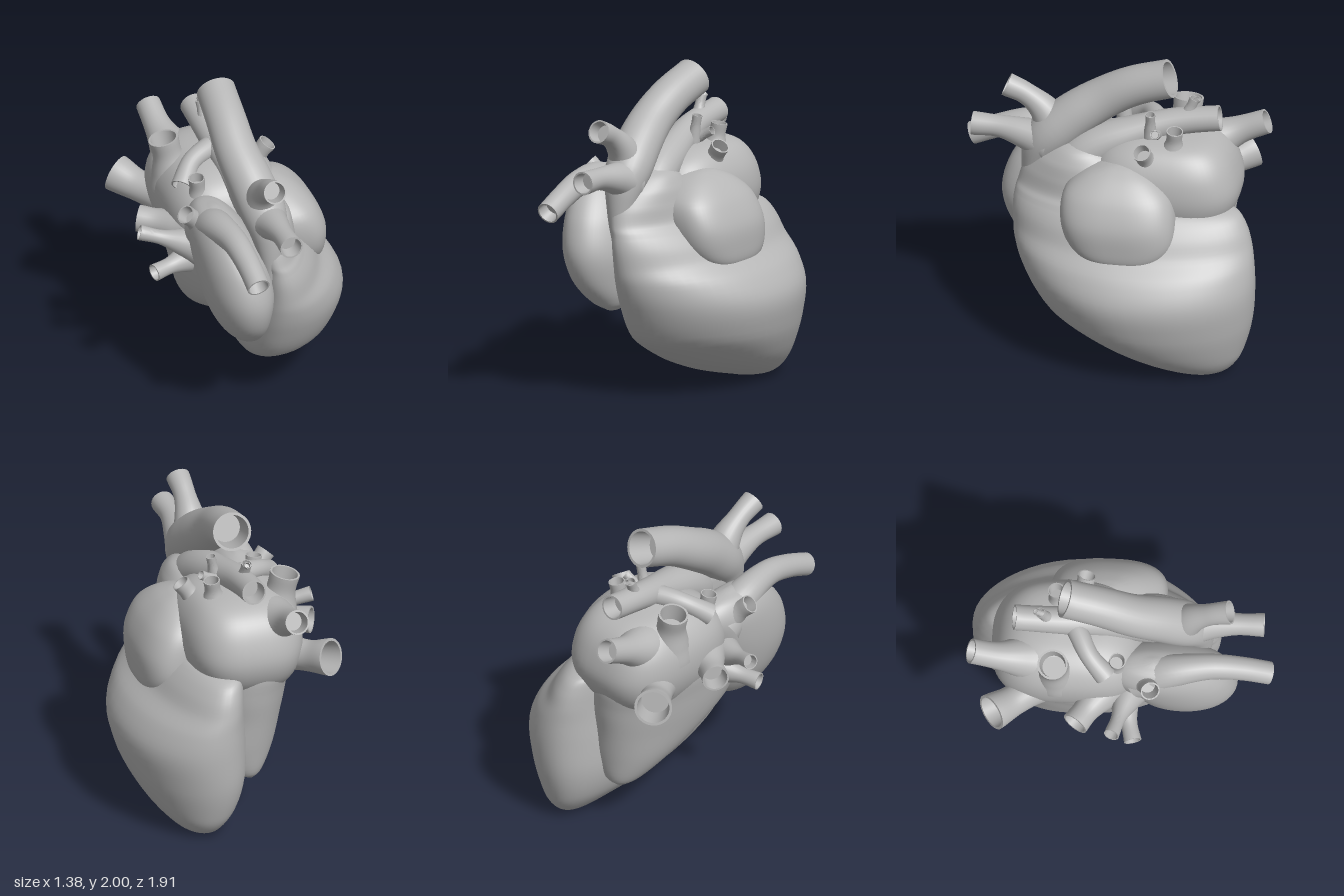
import * as THREE from 'three';
import { toCreasedNormals } from 'three/addons/utils/BufferGeometryUtils.js';

const tissue = new THREE.MeshStandardMaterial({ color: 0xb6b6b6 });
tissue.name = 'grey tissue';

// Skins a list of closed rings (all with the same number of points)
function skin(rings, crease) {
  const n = rings[0].length;
  const index = [];
  for (let i = 0; i < rings.length - 1; i++) {
    for (let j = 0; j < n; j++) {
      const k = (j + 1) % n;
      const a = i * n + j, b = a + n, c = i * n + k, d = c + n;
      index.push(a, b, c, b, d, c);
    }
  }
  const geo = new THREE.BufferGeometry().setFromPoints(rings.flat());
  geo.setIndex(index);
  return toCreasedNormals(geo, crease);
}

// Rounded chamber from level sections: [y, xMin, xMax, zMin, zMax]
// frontSkew and backSkew bend the front and back of each section towards -x
function chamber(name, sections, power = 2.2, frontSkew = 0, backSkew = 0) {
  const lo = new THREE.CatmullRomCurve3(sections.map(s => new THREE.Vector3(s[1], s[0], s[3])));
  const hi = new THREE.CatmullRomCurve3(sections.map(s => new THREE.Vector3(s[2], s[0], s[4])));
  const rings = [];
  const steps = (sections.length - 1) * 5, sides = 56;
  const bend = v => Math.sign(v) * Math.abs(v) ** (2 / power);
  const addRing = (i, size) => {
    const a = lo.getPoint(i / steps), b = hi.getPoint(i / steps);
    const rx = Math.max((b.x - a.x) / 2, 0.001) * size, rz = Math.max((b.z - a.z) / 2, 0.001) * size;
    rings.push(Array.from({ length: sides }, (_, j) => {
      const t = j / sides * Math.PI * 2;
      const c = bend(Math.cos(t)), s = bend(Math.sin(t));
      const slide = (s > 0 ? frontSkew : backSkew) * s * s;
      return new THREE.Vector3((a.x + b.x) / 2 + rx * (c - slide), a.y, (a.z + b.z) / 2 + rz * s);
    }));
  };
  addRing(0, 0.001);
  for (let i = 0; i <= steps; i++) addRing(i, 1);
  addRing(steps, 0.001);
  const mesh = new THREE.Mesh(skin(rings, 1.3), tissue);
  mesh.name = name;
  return mesh;
}

// Vessel along a path with a hollow open end; radii are spread evenly along it
function vessel(name, path, radii, sides = 24) {
  const curve = new THREE.CatmullRomCurve3(path.map(p => new THREE.Vector3(...p)));
  const steps = 24;
  const frames = curve.computeFrenetFrames(steps);
  const radiusCurve = new THREE.SplineCurve(radii.map((r, i) => new THREE.Vector2(i, r)));
  const ringAt = (i, r) => {
    const p = curve.getPointAt(i / steps);
    return Array.from({ length: sides }, (_, j) => {
      const t = j / sides * Math.PI * 2;
      return p.clone()
        .addScaledVector(frames.normals[i], Math.cos(t) * r)
        .addScaledVector(frames.binormals[i], -Math.sin(t) * r);
    });
  };
  const rings = [];
  for (let i = 0; i <= steps; i++) rings.push(ringAt(i, radiusCurve.getPoint(i / steps).y));
  // rim, inner wall and floor
  const end = radii[radii.length - 1];
  const depth = Math.max(steps - Math.max(2, Math.round(steps * end * 1.2 / curve.getLength())), 4);
  rings.push(ringAt(steps, end * 0.86), ringAt(depth, end * 0.74), ringAt(depth, 0.0005));
  const mesh = new THREE.Mesh(skin(rings, 0.9), tissue);
  mesh.name = name;
  return mesh;
}

export function createModel() {
  const heart = new THREE.Group();
  heart.name = 'heart';

  // Chambers
  heart.add(
    chamber('mainVentricle', [
      [0, 0.23, 0.32, -0.68, -0.5], [0.025, 0.16, 0.385, -0.78, -0.38], [0.1, 0.075, 0.48, -0.85, -0.1],
      [0.2, 0, 0.56, -0.89, 0.14], [0.37, -0.06, 0.645, -0.93, 0.4], [0.6, -0.07, 0.685, -0.945, 0.53],
      [0.76, -0.06, 0.61, -0.935, 0.585], [0.87, -0.05, 0.495, -0.915, 0.6], [0.98, -0.05, 0.43, -0.88, 0.605],
      [1.06, -0.05, 0.36, -0.82, 0.595], [1.12, -0.06, 0.29, -0.6, 0.58],
      [1.22, -0.07, 0.25, -0.3, 0.55], [1.32, -0.08, 0.22, -0.1, 0.48], [1.4, -0.07, 0.17, 0.02, 0.37],
      [1.44, 0.0, 0.08, 0.14, 0.25]], 2.12, 0.5, 0.2),
    chamber('lowerVentricle', [
      [0.275, -0.12, -0.04, -0.62, -0.48], [0.315, -0.17, 0.05, -0.66, -0.38], [0.48, -0.28, 0.2, -0.7, -0.05],
      [0.7, -0.36, 0.22, -0.73, 0.32], [0.9, -0.4, 0.22, -0.76, 0.4], [1.1, -0.42, 0.15, -0.76, 0.3],
      [1.25, -0.25, 0, -0.5, 0.1]], 2.1),
    chamber('rightAtrium', [
      [0.55, -0.14, -0.07, 0.36, 0.46], [0.61, -0.25, -0.02, 0.2, 0.55], [0.75, -0.34, 0.01, 0.08, 0.67],
      [0.93, -0.395, 0.025, 0.02, 0.72], [1.13, -0.42, -0.01, -0.07, 0.67], [1.28, -0.415, -0.08, -0.1, 0.56],
      [1.38, -0.37, -0.17, 0, 0.43], [1.42, -0.28, -0.25, 0.18, 0.22]], 2.1),
    chamber('leftAtrium', [
      [0.78, -0.12, -0.08, -0.4, -0.3], [0.85, -0.3, 0.1, -0.6, 0], [1.0, -0.41, 0.25, -0.76, 0.1],
      [1.15, -0.45, 0.3, -0.81, 0.15], [1.3, -0.44, 0.29, -0.78, 0.12], [1.41, -0.38, 0.24, -0.72, 0.05],
      [1.48, -0.28, 0.16, -0.62, -0.08], [1.515, -0.1, -0.04, -0.4, -0.33]], 2.9),
    chamber('leftAuricle', [
      [0.81, 0.36, 0.46, -0.2, -0.04], [0.835, 0.22, 0.515, -0.37, 0.12], [0.93, 0.12, 0.53, -0.455, 0.22],
      [1.07, 0.08, 0.525, -0.46, 0.26], [1.22, 0.05, 0.46, -0.42, 0.245], [1.32, 0.05, 0.37, -0.32, 0.14],
      [1.375, 0.12, 0.28, -0.2, 0.01], [1.39, 0.18, 0.23, -0.13, -0.07]], 2.7));

  // Great vessels
  heart.add(
    vessel('aorta', [[0, 1.0, 0.5], [0, 1.2, 0.48], [-0.005, 1.39, 0.42], [-0.035, 1.55, 0.26],
      [-0.065, 1.69, 0.06], [-0.06, 1.8, -0.13], [-0.045, 1.885, -0.36]],
    [0.05, 0.09, 0.142, 0.142, 0.132, 0.125, 0.122], 32),
    vessel('archBranchUpper', [[-0.02, 1.42, 0.34], [-0.03, 1.59, 0.43], [-0.035, 1.69, 0.55], [-0.035, 1.74, 0.665]],
      [0.13, 0.1, 0.07, 0.074]),
    vessel('archBranchLower', [[0, 1.38, 0.4], [0, 1.42, 0.54], [-0.005, 1.45, 0.7], [-0.005, 1.455, 0.875]],
      [0.13, 0.095, 0.069, 0.074]),
    vessel('pulmonaryTrunk', [[0.06, 1.1, 0.25], [0.05, 1.25, 0.25], [0.02, 1.37, 0.13], [-0.02, 1.47, -0.1],
      [-0.07, 1.56, -0.38], [-0.085, 1.61, -0.67]], [0.08, 0.13, 0.125, 0.1, 0.085, 0.08]),
    vessel('pulmonaryBranch', [[-0.02, 1.53, -0.33], [-0.14, 1.53, -0.27], [-0.27, 1.5, -0.2], [-0.37, 1.41, -0.09]],
      [0.07, 0.065, 0.06, 0.07]),
    vessel('superiorVein', [[-0.28, 1.2, 0.1], [-0.29, 1.33, 0.3], [-0.26, 1.36, 0.55], [-0.245, 1.31, 0.75],
      [-0.24, 1.24, 0.92]], [0.14, 0.11, 0.085, 0.075, 0.072]),
    vessel('inferiorVein', [[-0.22, 1.05, -0.4], [-0.36, 1.08, -0.56], [-0.46, 1.1, -0.68], [-0.545, 1.135, -0.79]],
      [0.2, 0.12, 0.098, 0.118], 32),
    vessel('rearVein', [[-0.2, 1.27, -0.4], [-0.25, 1.36, -0.62], [-0.275, 1.43, -0.77], [-0.28, 1.5, -0.93]],
      [0.2, 0.15, 0.09, 0.078]));

  // Side veins and small branches: [name, base, tip, base radius, tip radius]
  const branches = [
    ['upperVein', [-0.3, 1.25, -0.4], [-0.37, 1.57, -0.42], 0.16, 0.095],
    ['topVein', [-0.27, 1.25, -0.05], [-0.3, 1.5, -0.02], 0.11, 0.052],
    ['frontVein', [-0.28, 1.22, 0.13], [-0.45, 1.39, 0.19], 0.12, 0.06],
    ['sideVeinUpper', [-0.29, 1.05, 0.07], [-0.67, 1.17, -0.04], 0.13, 0.048],
    ['sideVeinLower', [-0.28, 0.97, 0.0], [-0.62, 0.94, 0.09], 0.13, 0.055],
    ['sideVeinRear', [-0.3, 1.1, -0.08], [-0.59, 1.12, -0.27], 0.15, 0.085],
    ['leftVein', [0.1, 1.3, -0.28], [0.25, 1.51, -0.235], 0.14, 0.058],
    ['leftTopVein', [0.08, 1.38, -0.4], [0.11, 1.6, -0.42], 0.11, 0.052],
    ['smallBranchFront', [0.03, 1.5, -0.25], [0.06, 1.675, -0.257], 0.045, 0.031],
    ['smallBranchSide', [0.0, 1.5, -0.28], [0.14, 1.58, -0.3], 0.045, 0.03],
    ['smallBranchRear', [-0.08, 1.58, -0.45], [-0.09, 1.73, -0.51], 0.05, 0.033],
    ['smallBranchFork', [-0.085, 1.68, -0.48], [-0.085, 1.735, -0.54], 0.025, 0.02],
  ];
  for (const [name, base, tip, r0, r1] of branches) {
    const at = t => base.map((v, i) => v + (tip[i] - v) * t);
    heart.add(vessel(name, [base, at(0.35), at(0.7), tip], [r0, r0 * 0.45 + r1 * 0.55, r1 * 0.97, r1]));
  }
  return heart;
}
